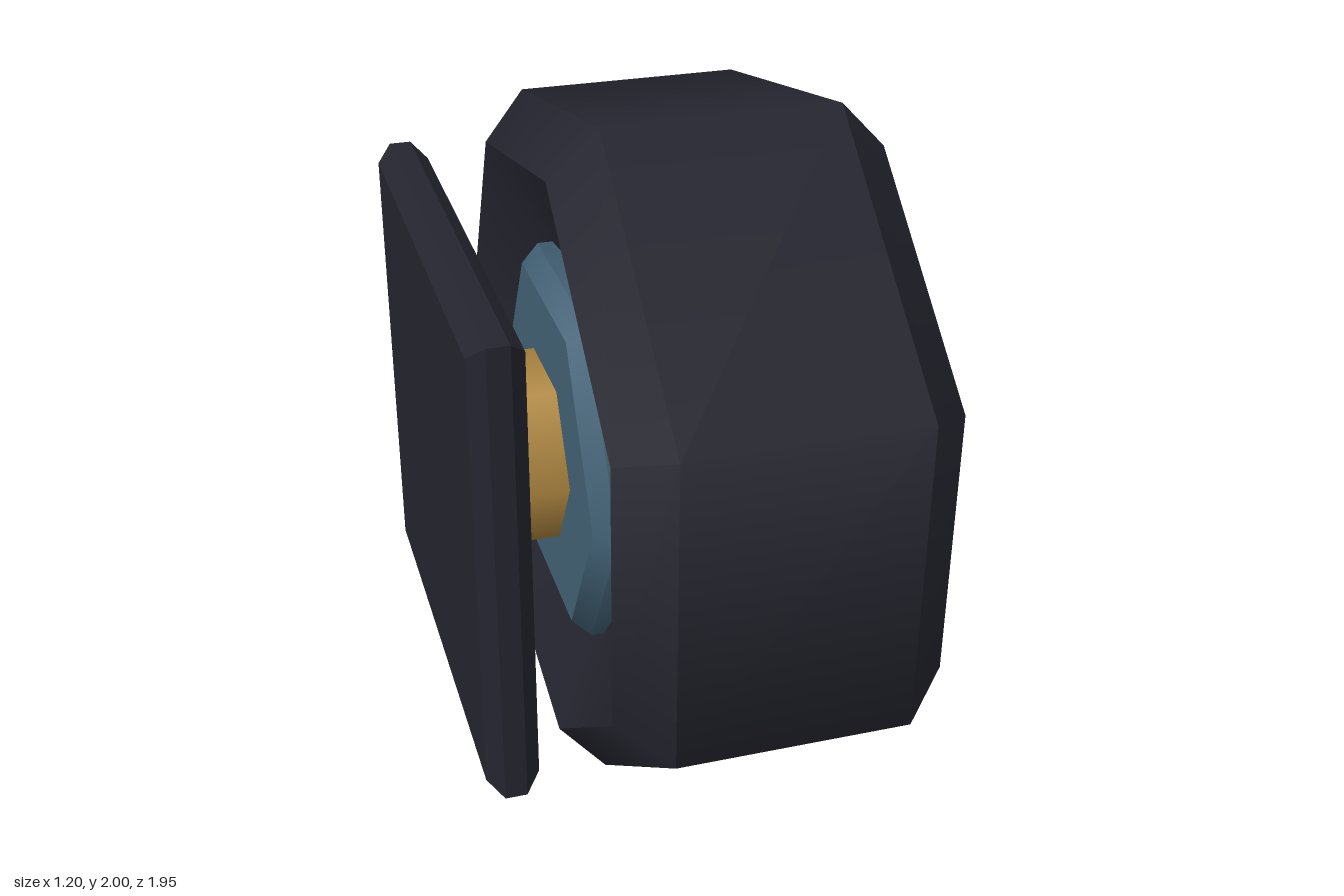
import * as THREE from 'three';
import { mergeGeometries } from 'three/addons/utils/BufferGeometryUtils.js';

const material = (name, color) => {
  const m = new THREE.MeshStandardMaterial({ color });
  m.name = name;
  return m;
};

// Turned part along x: points are [radius, x]; smooth around, sharp between bands.
function turned(points, sides, start = 0, flat = false) {
  const bands = [];
  for (let i = 0; i < points.length - 1; i++) {
    const pair = [points[i], points[i + 1]].map(([r, x]) => new THREE.Vector2(r, x));
    bands.push(new THREE.LatheGeometry(pair, sides, start));
  }
  let geometry = mergeGeometries(bands).rotateZ(-Math.PI / 2);
  if (flat) {
    geometry = geometry.toNonIndexed();
    geometry.computeVertexNormals();
  }
  return geometry;
}

// Capped prism with both rims bevelled
const bevelled = (r, x0, x1, bevelR, bevelX) => [
  [0, x0], [r - bevelR, x0], [r, x0 + bevelX],
  [r, x1 - bevelX], [r - bevelR, x1], [0, x1],
];

export function createModel() {
  const model = new THREE.Group();
  model.name = 'wheel';
  const rubber = material('dark rubber', 0x252530);
  const steel = material('blue steel', 0x426276);
  const brass = material('brass', 0xb08840);

  const add = (name, geometry, mat, y = 1, z = 0.05) => {
    const mesh = new THREE.Mesh(geometry, mat);
    mesh.name = name;
    mesh.position.set(0, y, z);
    model.add(mesh);
  };

  // Seven-sided tyre with dished side walls and an open centre
  add('tyre', turned([
    [0.53, -0.15], [0.882, -0.3], [1.026, -0.17], [1.026, 0.465],
    [0.882, 0.6], [0.53, 0.45], [0.53, -0.15],
  ], 7, Math.PI), rubber);

  // Six-sided hub through the tyre
  add('hub', turned(bevelled(0.555, -0.27, 0.57, 0.05, 0.052), 6), steel);

  // Five wheel bolts
  const boltGeometry = turned(bevelled(0.103, 0.53, 0.6, 0.014, 0.014), 8);
  for (let i = 0; i < 5; i++) {
    const a = (i / 5) * Math.PI * 2;
    add('bolt' + (i + 1), boltGeometry, brass,
      1 + 0.335 * Math.sin(a), 0.055 - 0.335 * Math.cos(a));
  }

  // Axle and square mounting plate on the inner side
  add('axle', turned(bevelled(0.265, -0.46, -0.2, 0.055, 0.055), 6), brass);
  const diagonal = Math.SQRT2;
  add('mountingPlate', turned(
    bevelled(0.667 * diagonal, -0.6, -0.457, 0.04 * diagonal, 0.042),
    4, Math.PI / 4, true), rubber);

  return model;
}
